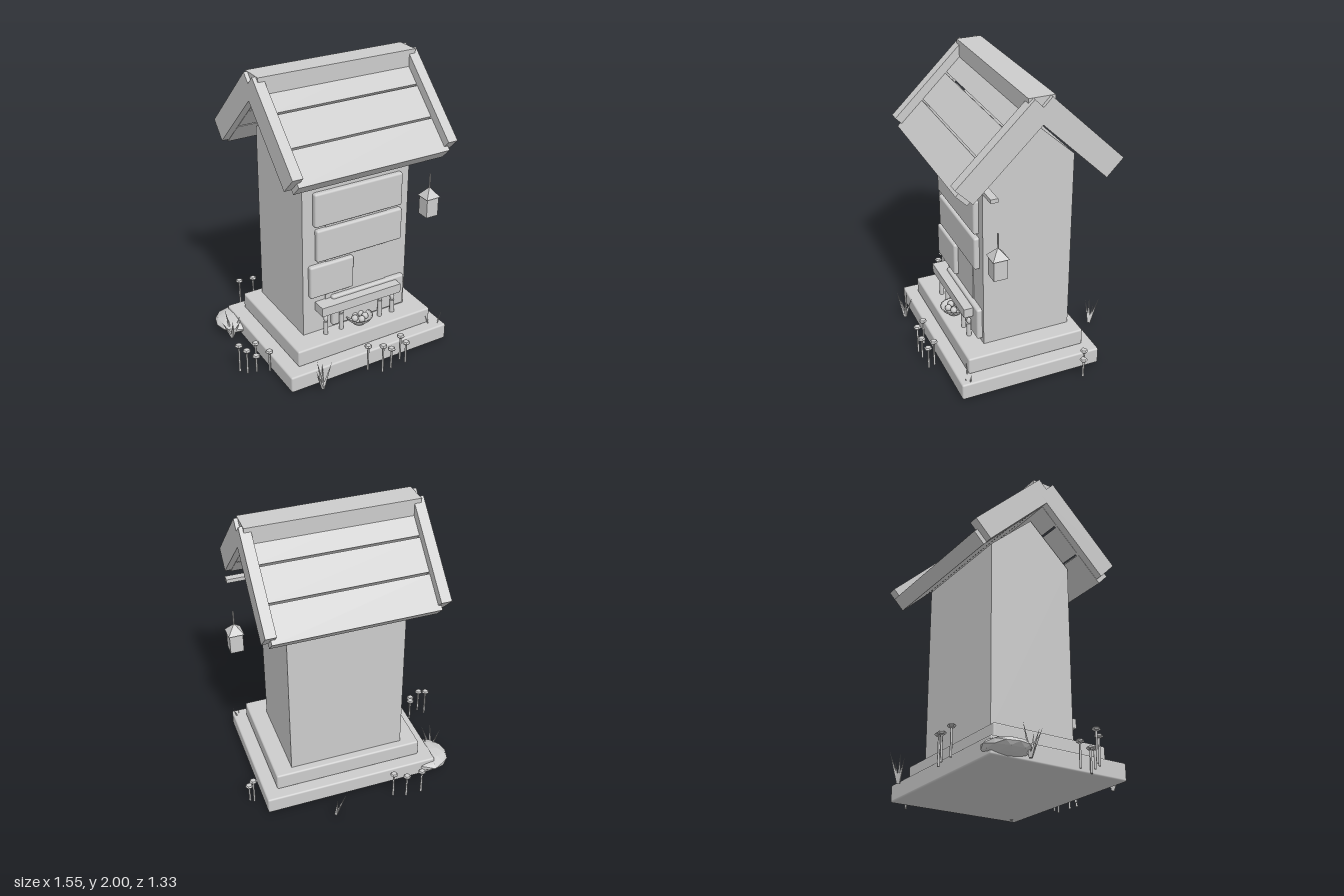
import * as THREE from 'three';
import { RoundedBoxGeometry } from 'three/addons/geometries/RoundedBoxGeometry.js';

export function createModel() {
  const model = new THREE.Group();
  const stone = new THREE.MeshStandardMaterial({ color: 0xcccccc });
  stone.name = 'stoneGrey';
  stone.side = THREE.DoubleSide;

  const add = (name, geo, x = 0, y = 0, z = 0, parent = model) => {
    const m = new THREE.Mesh(geo, stone);
    m.name = name;
    m.position.set(x, y, z);
    parent.add(m);
    return m;
  };
  const flat = (geo) => {
    const g = geo.index ? geo.toNonIndexed() : geo;
    g.computeVertexNormals();
    return g;
  };
  // Box given by its limits, rounded when r > 0
  const box = (name, x0, x1, y0, y1, z0, z1, r = 0) => {
    const s = [x1 - x0, y1 - y0, z1 - z0];
    const g = r ? new RoundedBoxGeometry(...s, 3, r) : new THREE.BoxGeometry(...s);
    return add(name, g, (x0 + x1) / 2, (y0 + y1) / 2, (z0 + z1) / 2);
  };
  // Prism along x from a [z, y] outline
  const prism = (name, pts, x0, x1) => {
    const shape = new THREE.Shape(pts.map(([z, y]) => new THREE.Vector2(z, y)));
    const g = new THREE.ExtrudeGeometry(shape, { depth: x1 - x0, bevelEnabled: false });
    g.rotateY(-Math.PI / 2);
    g.translate(x1, 0, 0);
    return add(name, g);
  };

  // Stepped base
  box('lowerStep', -0.56, 0.66, 0.01, 0.127, -0.445, 0.535, 0.012);
  box('upperStep', -0.465, 0.57, 0.127, 0.245, -0.365, 0.455, 0.012);

  // Shrine body with gable
  prism('body', [[-0.31, 0.24], [0.302, 0.24], [0.302, 1.515], [0, 1.795], [-0.31, 1.515]], -0.345, 0.45);

  // Roof: each slope runs down along d, with n pointing out of it
  const d = [0.719, -0.695], n = [0.695, 0.719];
  const slab = (name, s, z, y, u0, u1, thick, x0, x1) => {
    const at = (u, v) => [s * (z + d[0] * u + n[0] * v), y + d[1] * u + n[1] * v];
    prism(name, [at(u0, 0), at(u1, 0), at(u1, -thick), at(u0, -thick)], x0, x1);
  };
  for (const s of [1, -1]) {
    // Boards separated by narrow gaps, measured from the top of the slope
    for (const [u0, u1] of [[0, 0.248], [0.26, 0.485], [0.497, 0.733]])
      slab('roofBoard', s, 0, 1.971, u0, u1, 0.1, -0.485, 0.597);
    for (const x of [-0.535, 0.57])
      slab('bargeBoard', s, 0.055, 2.0, 0, 0.682, 0.157, x, x + 0.07);
  }
  box('ridgeBeam', -0.51, 0.615, 1.85, 2.0, -0.085, 0.085);

  // Front panel and plaques
  box('backPanel', -0.18, 0.285, 0.25, 1.06, 0.29, 0.308);
  for (const [x0, x1, y0, y1] of [
    [-0.27, 0.385, 1.045, 1.28], [-0.255, 0.39, 0.79, 1.02],
    [-0.305, 0.02, 0.53, 0.765], [-0.14, 0.425, 0.27, 0.5],
  ]) box('plaque', x0, x1, y0, y1, 0.285, 0.337, 0.014);

  // Shelf and candles
  box('shelf', -0.255, 0.355, 0.415, 0.48, 0.3, 0.4);
  for (const [x, top] of [[-0.205, 0.385], [-0.085, 0.412], [0.22, 0.412], [0.32, 0.385]]) {
    const h = top - 0.045 - 0.245;
    add('candle', new THREE.CylinderGeometry(0.015, 0.017, h, 8), x, 0.245 + h / 2, 0.355);
    add('flame', new THREE.SphereGeometry(0.016, 8, 6).scale(1, 1.5, 1), x, top - 0.024, 0.355);
  }

  // Offering bowl with fruit
  const bowl = [[0, 0.004], [0.04, 0], [0.05, 0.012], [0.08, 0.04], [0.095, 0.062], [0.084, 0.06], [0.05, 0.026], [0, 0.018]];
  add('bowl', new THREE.LatheGeometry(bowl.map((p) => new THREE.Vector2(...p)), 16), 0.052, 0.246, 0.36);
  for (let i = 0; i < 5; i++) {
    const a = (i / 5) * Math.PI * 2 + 0.4;
    add('fruit', new THREE.SphereGeometry(0.024, 8, 6), 0.052 + Math.cos(a) * 0.04, 0.298, 0.36 + Math.sin(a) * 0.04);
  }

  // Lantern and its bracket
  box('lanternBracket', 0.44, 0.665, 1.41, 1.436, 0.29, 0.338);
  box('lanternBody', 0.596, 0.688, 0.885, 1.025, 0.237, 0.329);
  const cap = new THREE.ConeGeometry(0.077, 0.068, 4);
  cap.rotateY(Math.PI / 4);
  add('lanternCap', flat(cap), 0.642, 1.057, 0.283);
  add('lanternRod', new THREE.CylinderGeometry(0.006, 0.006, 0.11, 6), 0.642, 1.133, 0.283);

  // Flowers with hexagonal heads: x, z, height
  for (const [x, z, h] of [
    [-0.39, -0.6, 0.21], [-0.28, -0.6, 0.2], [-0.195, -0.57, 0.22],
    [-0.75, 0.155, 0.23], [-0.715, 0.2, 0.205], [-0.62, 0.135, 0.19], [-0.655, 0.215, 0.15], [-0.575, 0.25, 0.18],
    [-0.005, 0.57, 0.215], [0.07, 0.635, 0.23], [0.14, 0.63, 0.18], [0.245, 0.58, 0.215], [0.26, 0.625, 0.185],
    [0.72, -0.3, 0.21], [0.747, -0.285, 0.16],
  ]) {
    add('flowerStem', new THREE.CylinderGeometry(0.007, 0.008, h - 0.02, 5), x, h / 2, z);
    add('flowerHead', flat(new THREE.SphereGeometry(0.028, 6, 4).scale(1, 0.5, 1)), x, h - 0.014, z);
  }

  // Grass clumps: base x, z and blade tips as [dx, height, dz]
  const up = new THREE.Vector3(0, 1, 0);
  for (const [x, z, tips] of [
    [-0.36, 0.59, [[-0.07, 0.18, 0.035], [-0.03, 0.21, -0.03], [0.06, 0.2, 0.01], [0.02, 0.16, -0.05], [-0.05, 0.12, 0.01]]],
    [0.235, -0.605, [[0.01, 0.2, -0.065], [-0.07, 0.15, 0], [-0.06, 0.18, -0.025], [-0.02, 0.13, -0.04]]],
    [-0.63, -0.225, [[-0.075, 0.15, 0.01], [-0.02, 0.2, -0.065], [0.05, 0.17, 0.06], [-0.02, 0.18, 0.07], [0.07, 0.13, -0.02]]],
    [0.6, 0.47, [[-0.07, 0.19, -0.01], [0.065, 0.2, 0.005], [0.02, 0.14, 0.03]]],
  ]) {
    for (const t of tips) {
      const v = new THREE.Vector3(...t), len = v.length();
      const g = new THREE.ConeGeometry(0.013, len, 4);
      g.translate(0, len / 2, 0);
      add('grassBlade', flat(g), x, 0.01, z).quaternion.setFromUnitVectors(up, v.normalize());
    }
  }

  // Rock beside the base
  const rock = new THREE.IcosahedronGeometry(1, 1);
  rock.scale(0.145, 0.05, 0.155);
  add('rock', flat(rock), -0.55, 0.068, -0.335);

  return model;
}
